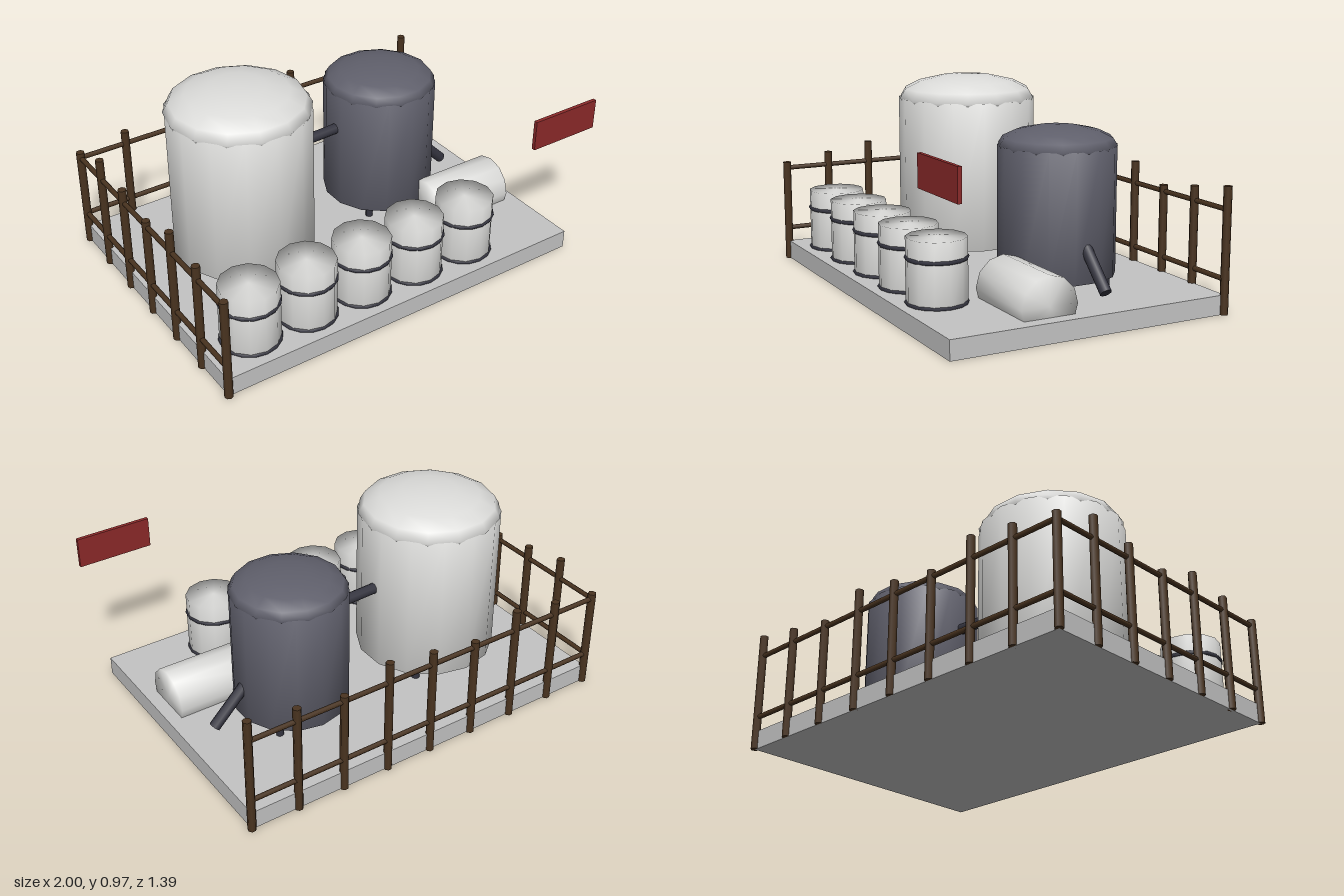
import * as THREE from 'three';
import { mergeVertices } from 'three/addons/utils/BufferGeometryUtils.js';

const material = (name, color) => {
  const m = new THREE.MeshStandardMaterial({ color });
  m.name = name;
  return m;
};

// Weld shared corners so that caps and walls shade as one soft surface
function soften(geometry) {
  geometry.deleteAttribute('normal');
  geometry.deleteAttribute('uv');
  const g = mergeVertices(geometry, 1e-4);
  g.computeVertexNormals();
  return g;
}

export function createModel() {
  const model = new THREE.Group();
  model.name = 'tankYard';
  const concrete = material('concrete grey', 0xc4c4c4);
  const pale = material('pale metal', 0xdcdcda);
  const slate = material('slate grey', 0x60606c);
  const dark = material('dark metal', 0x353540);
  const wood = material('brown wood', 0x4a3420);
  const red = material('red paint', 0x8c2a2a);

  const add = (name, geometry, mat, parent = model) => {
    const mesh = new THREE.Mesh(geometry, mat);
    mesh.name = name;
    parent.add(mesh);
    return mesh;
  };

  // Cylinder between two points
  const up = new THREE.Vector3(0, 1, 0);
  const rod = (name, a, b, r, sides, mat, parent = model) => {
    const p = new THREE.Vector3(...a), q = new THREE.Vector3(...b);
    const dir = q.clone().sub(p);
    const mesh = add(name, new THREE.CylinderGeometry(r, r, dir.length(), sides), mat, parent);
    mesh.position.copy(p).add(q).multiplyScalar(0.5);
    mesh.quaternion.setFromUnitVectors(up, dir.normalize());
    return mesh;
  };

  // Ground slab
  const x0 = -0.98, x1 = 0.905, zEdge = 0.675;
  add('slab', new THREE.BoxGeometry(x1 - x0, 0.09, 2 * zEdge), concrete)
    .position.set((x0 + x1) / 2, 0.045, 0);

  // Tanks: wall, flattened dome and four short legs
  const tank = (name, x, z, r, bottom, rim, dome, leg, legR, mat) => {
    const g = new THREE.Group();
    g.name = name;
    g.position.set(x, 0, z);
    model.add(g);
    const h = rim - bottom;
    add('tankWall', soften(new THREE.CylinderGeometry(r, r, h, 14)), mat, g).position.y = bottom + h / 2;
    const top = add('tankDome', new THREE.SphereGeometry(r, 14, 8), mat, g);
    top.scale.y = dome / r;
    top.position.y = rim;
    for (const sx of [-1, 1]) for (const sz of [-1, 1])
      rod('tankLeg', [sx * leg, 0.001, sz * leg], [sx * leg, bottom + 0.02, sz * leg], legR, 8, dark, g);
  };
  tank('largeTank', -0.445, -0.09, 0.337, 0.14, 0.86, 0.113, 0.2, 0.02, pale);
  tank('smallTank', 0.365, -0.135, 0.271, 0.14, 0.73, 0.086, 0.163, 0.018, slate);

  // Pipes
  rod('connectingPipe', [-0.2, 0.545, -0.107], [0.18, 0.545, -0.128], 0.026, 10, dark);
  rod('outletPipe', [0.56, 0.352, -0.138], [0.775, 0.137, -0.138], 0.027, 10, dark);

  // Row of upright barrels with hoops
  const barrelGeometry = (length) => soften(new THREE.CylinderGeometry(0.136, 0.136, length, 12));
  const hoopGeometry = new THREE.TorusGeometry(0.132, 0.01, 6, 16);
  for (let i = 0; i < 5; i++) {
    const g = new THREE.Group();
    g.name = 'barrel';
    g.position.set(-0.76 + i * 0.2925, 0, 0.492);
    model.add(g);
    add('barrelBody', barrelGeometry(0.383), pale, g).position.y = 0.1935;
    for (const y of [0.095, 0.295]) {
      const hoop = add('barrelHoop', hoopGeometry, dark, g);
      hoop.rotation.x = Math.PI / 2;
      hoop.position.y = y;
    }
  }

  // Barrel lying on its side
  const lying = add('lyingBarrel', barrelGeometry(0.405), pale);
  lying.rotation.z = Math.PI / 2;
  lying.position.set(0.638, 0.137, 0.18);

  // Fence along the back and the right side, with post heights in a repeating pattern
  const heights = [0.505, 0.542, 0.58];
  const post = (x, z, i) => rod('fencePost', [x, 0, z], [x, heights[i % 3], z], 0.02, 7, wood);
  for (let i = 0; i < 9; i++) post(x0 + (i * (x1 - x0)) / 8, -zEdge, i);
  for (let i = 0; i < 6; i++) post(x0, zEdge - i * 0.225, i);
  for (const y of [0.16, 0.475]) {
    rod('backRail', [x0, y, -zEdge], [x1, y, -zEdge], 0.012, 6, wood);
    rod('sideRail', [x0, y, -zEdge], [x0, y, zEdge], 0.012, 6, wood);
  }

  // Sign panel
  add('signPanel', new THREE.BoxGeometry(0.36, 0.145, 0.018), red).position.set(0.82, 0.723, 0.675);

  return model;
}
